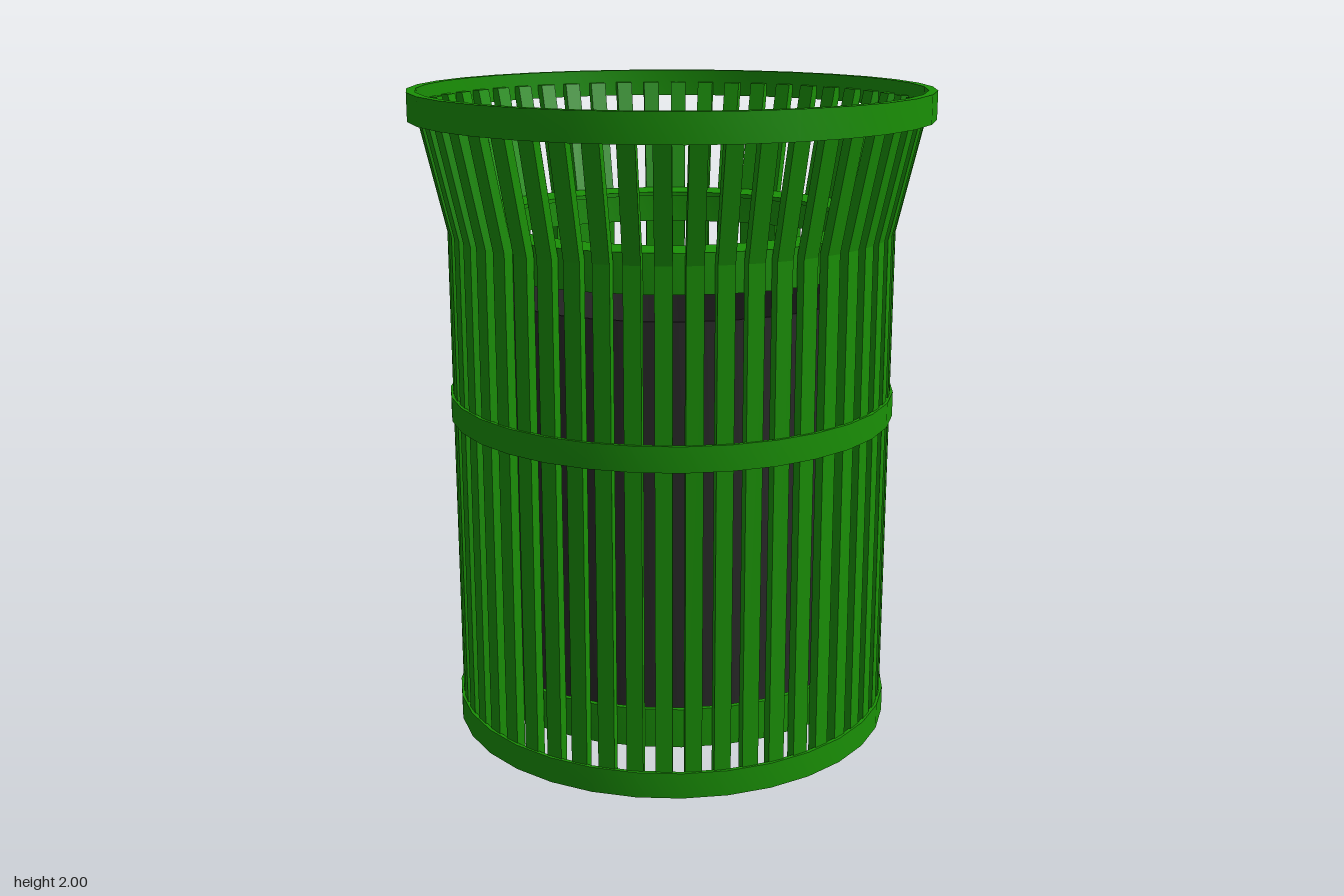
import * as THREE from 'three';
import { toCreasedNormals } from 'three/addons/utils/BufferGeometryUtils.js';

const SIDES = 32;
const SLATS = 50;

export function createModel() {
  const model = new THREE.Group();
  model.name = 'litterBin';

  const green = new THREE.MeshStandardMaterial({ color: 0x1a9006 });
  green.name = 'green paint';
  const dark = new THREE.MeshStandardMaterial({ color: 0x292929 });
  dark.name = 'dark liner';

  const add = (name, geometry, material, parent = model) => {
    const mesh = new THREE.Mesh(geometry, material);
    mesh.name = name;
    parent.add(mesh);
    return mesh;
  };

  // Turned part from a profile running up the outside and back down the inside
  const turned = (points) => toCreasedNormals(
    new THREE.LatheGeometry(points.map(([r, y]) => new THREE.Vector2(r, y)), SIDES), 0.6);
  const ring = (inner, outer, y0, y1) =>
    turned([[inner, y0], [outer, y0], [outer, y1], [inner, y1], [inner, y0]]);

  // Outer hoops
  add('bottomHoop', ring(0.683, 0.695, 0, 0.08), green);
  add('middleHoop', ring(0.683, 0.695, 1.0, 1.077), green);
  add('topHoop', ring(0.768, 0.795, 1.915, 2), green);

  // Angle-section collars: a thin skirt with a flat flange turned inwards
  add('lowerCollar', turned([
    [0.53, 0.145], [0.655, 0.145], [0.655, 0.265], [0.64, 0.265],
    [0.64, 0.158], [0.53, 0.158], [0.53, 0.145],
  ]), green);
  add('upperCollar', turned([
    [0.53, 1.597], [0.64, 1.597], [0.64, 1.495], [0.655, 1.495],
    [0.655, 1.61], [0.53, 1.61], [0.53, 1.597],
  ]), green);

  // Open liner with a floor, standing on the lower flange
  add('liner', turned([
    [0, 0.16], [0.61, 0.16], [0.61, 1.41], [0.6, 1.41], [0.6, 0.175], [0, 0.175],
  ]), dark);

  // Upright slats, flared outwards at the top
  const profile = new THREE.Shape([
    [0.655, 0.01], [0.685, 0.01], [0.685, 1.58], [0.772, 1.96], [0.742, 1.96], [0.655, 1.585],
  ].map(([r, y]) => new THREE.Vector2(r, y)));
  const width = 0.05;
  const slat = new THREE.ExtrudeGeometry(profile, { depth: width, bevelEnabled: false });
  slat.translate(0, 0, -width / 2);

  // The ring of slats starts just off the front centre line
  const slats = new THREE.Group();
  slats.name = 'slats';
  slats.rotation.y = -Math.PI / 2 + 0.017;
  model.add(slats);
  for (let i = 0; i < SLATS; i++) {
    add('slat', slat, green, slats).rotation.y = (i / SLATS) * Math.PI * 2;
  }

  return model;
}
